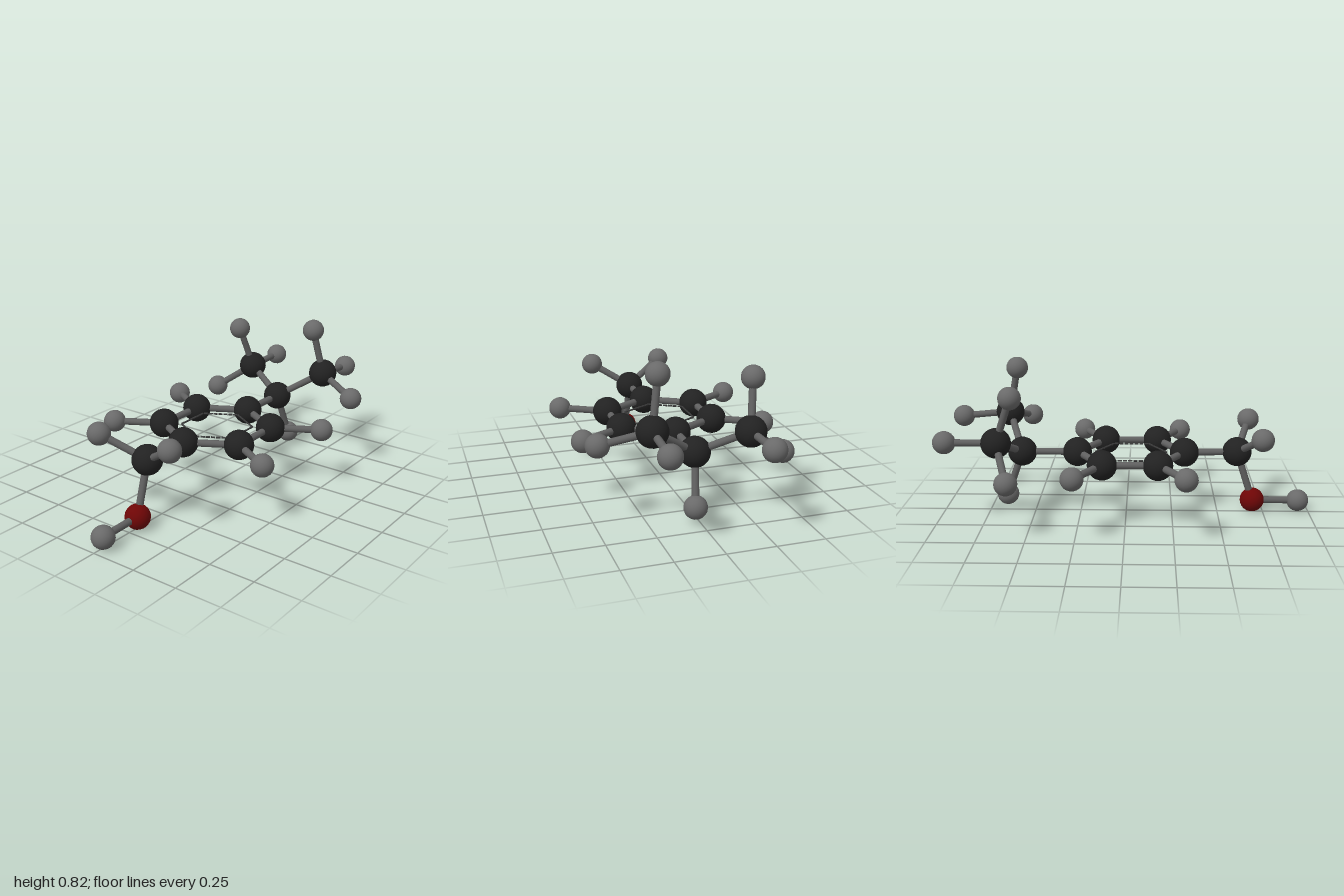
import * as THREE from 'three';

const mat = (name, color) => new THREE.MeshStandardMaterial({ name, color });

export function createModel() {
  const model = new THREE.Group();
  model.name = 'molecule';
  const charcoal = mat('charcoal', 0x222222);
  const grey = mat('grey', 0x6a6a6a);
  const stickGrey = mat('stick grey', 0x606060);
  const darkRed = mat('dark red', 0x6e0606);
  const dashGrey = mat('dash grey', 0x3c3c3c);

  const kinds = {
    carbon: [new THREE.IcosahedronGeometry(0.079, 3), charcoal],
    hydrogen: [new THREE.IcosahedronGeometry(0.06, 3), grey],
    oxygen: [new THREE.IcosahedronGeometry(0.066, 3), darkRed],
  };

  const atom = (kind, x, y, z) => {
    const mesh = new THREE.Mesh(...kinds[kind]);
    mesh.name = kind + 'Atom';
    mesh.position.set(x, y, z);
    model.add(mesh);
    return mesh.position;
  };

  // Straight rod between two points
  const up = new THREE.Vector3(0, 1, 0);
  const rod = (a, b, radius, sides, material, name) => {
    const dir = b.clone().sub(a);
    const mesh = new THREE.Mesh(new THREE.CylinderGeometry(radius, radius, dir.length(), sides), material);
    mesh.name = name;
    mesh.position.copy(a).lerp(b, 0.5);
    mesh.quaternion.setFromUnitVectors(up, dir.normalize());
    model.add(mesh);
  };
  const bond = (a, b) => rod(a, b, 0.019, 12, stickGrey, 'bond');
  const attach = (parent, kind, x, y, z) => {
    const p = atom(kind, x, y, z);
    bond(parent, p);
    return p;
  };

  // Six-sided ring, with a hydrogen on the four side corners
  const cx = -0.025, cy = 0.34, cz = -0.003;
  const corner = (r, i) => new THREE.Vector3(
    cx + r * Math.cos(i * Math.PI / 3), cy, cz + r * Math.sin(i * Math.PI / 3));
  const ring = [];
  for (let i = 0; i < 6; i++) ring.push(atom('carbon', ...corner(0.29, i).toArray()));
  for (let i = 0; i < 6; i++) {
    bond(ring[i], ring[(i + 1) % 6]);
    if (i % 3) attach(ring[i], 'hydrogen', ...corner(0.564, i).toArray());
  }

  // Dashed hexagon inside the ring
  const dashes = 7;
  for (let i = 0; i < 6; i++) {
    const a = corner(0.193, i), b = corner(0.193, i + 1);
    for (let k = 0; k < dashes; k++) {
      rod(a.clone().lerp(b, (k + 0.1) / dashes), a.clone().lerp(b, (k + 0.9) / dashes),
        0.005, 6, dashGrey, 'ringDash');
    }
  }

  // Alcohol arm
  const arm = attach(ring[3], 'carbon', -0.6, 0.345, 0);
  attach(arm, 'hydrogen', -0.71, 0.468, -0.215);
  attach(arm, 'hydrogen', -0.677, 0.475, 0.21);
  const oxygen = attach(arm, 'oxygen', -0.69, 0.07, 0.005);
  attach(oxygen, 'hydrogen', -0.94, 0.067, 0.008);

  // Forked arm with two three-pronged ends
  const fork = attach(ring[0], 'carbon', 0.565, 0.34, 0);
  attach(fork, 'hydrogen', 0.655, 0.088, 0.025);
  const frontEnd = attach(fork, 'carbon', 0.662, 0.503, 0.245);
  attach(frontEnd, 'hydrogen', 0.61, 0.763, 0.203);
  attach(frontEnd, 'hydrogen', 0.926, 0.477, 0.245);
  attach(frontEnd, 'hydrogen', 0.566, 0.427, 0.485);
  const backEnd = attach(fork, 'carbon', 0.667, 0.453, -0.248);
  attach(backEnd, 'hydrogen', 0.583, 0.698, -0.287);
  attach(backEnd, 'hydrogen', 0.935, 0.455, -0.25);
  attach(backEnd, 'hydrogen', 0.59, 0.3, -0.457);

  return model;
}
